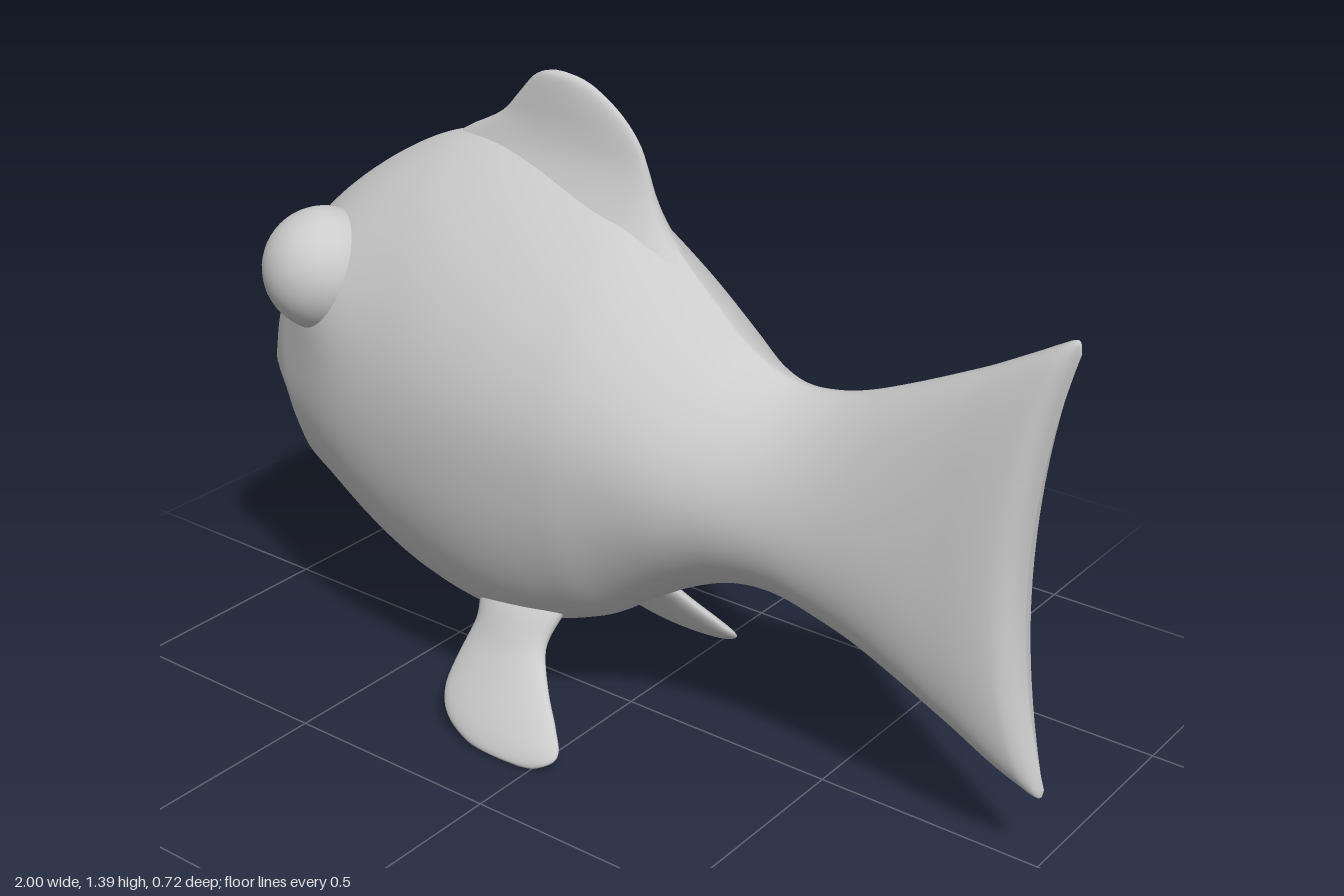
import * as THREE from 'three';

const material = new THREE.MeshStandardMaterial({ color: 0xcccccc, roughness: 0.7 });
const { smoothstep, clamp } = THREE.MathUtils;
const EYE = { x: -0.683, y: 0.912, z: 0.184, r: 0.134 };

// Smooth interpolation through rows [key, a, b, ...]; returns [a, b, ...]
function sample(rows, k) {
  let i = 0;
  while (i < rows.length - 2 && k > rows[i + 1][0]) i++;
  const a = rows[i], b = rows[i + 1], p = rows[Math.max(i - 1, 0)], n = rows[Math.min(i + 2, rows.length - 1)];
  const d = b[0] - a[0], t = clamp((k - a[0]) / d, 0, 1), t2 = t * t, t3 = t2 * t;
  return a.slice(1).map((v, c) => {
    const w = b[c + 1];
    const m0 = (w - p[c + 1]) / (b[0] - p[0]) * d;
    const m1 = (n[c + 1] - v) / (n[0] - a[0]) * d;
    return (2 * t3 - 3 * t2 + 1) * v + (t3 - 2 * t2 + t) * m0 + (3 * t2 - 2 * t3) * w + (t3 - t2) * m1;
  });
}

// Skin a grid of closed rings; point(u, angle) gives [x, y, z]
function loft(name, steps, sides, point) {
  const pos = [], idx = [];
  for (let i = 0; i <= steps; i++) {
    for (let j = 0; j < sides; j++) {
      pos.push(...point(i / steps, j / sides * Math.PI * 2));
      if (i === steps) continue;
      const a = i * sides + j, b = i * sides + (j + 1) % sides;
      idx.push(a, a + sides, b, b, a + sides, b + sides);
    }
  }
  const geo = new THREE.BufferGeometry();
  geo.setAttribute('position', new THREE.Float32BufferAttribute(pos, 3));
  geo.setIndex(idx);
  geo.computeVertexNormals();
  const mesh = new THREE.Mesh(geo, material);
  mesh.name = name;
  return mesh;
}

// Body stations: x, top, bottom, half width
const bodyRows = [
  [-1, 0.61, 0.42, 0], [-0.985, 0.67, 0.415, 0.048], [-0.95, 0.77, 0.40, 0.09], [-0.9, 0.87, 0.375, 0.137],
  [-0.8, 1.0, 0.325, 0.205], [-0.6, 1.15, 0.22, 0.28], [-0.4, 1.235, 0.172, 0.312], [-0.2, 1.24, 0.18, 0.318],
  [0, 1.17, 0.245, 0.30], [0.1, 1.095, 0.31, 0.277], [0.2, 1.0, 0.368, 0.245], [0.3, 0.915, 0.405, 0.20],
  [0.4, 0.875, 0.41, 0.16], [0.5, 0.88, 0.385, 0.132], [0.6, 0.912, 0.35, 0.115], [0.8, 1.005, 0.255, 0.092],
  [0.9, 1.06, 0.2, 0.08], [0.96, 1.095, 0.172, 0.065], [0.985, 1.108, 0.16, 0.046], [0.996, 1.105, 0.162, 0.026],
  [1, 1.085, 0.18, 0],
];
// Section exponents along x: above and below the middle (high is pointed, low is full)
const powerRows = [
  [-1, 1.0, 0.75], [-0.9, 1.05, 1.0], [-0.7, 1.1, 1.4], [-0.45, 1.55, 1.1], [-0.2, 1.95, 0.85], [0.05, 1.85, 0.9],
  [0.35, 1.4, 1.3], [0.55, 1.1, 1.1], [0.8, 0.85, 0.85], [1, 0.8, 0.8],
];
// Front edge of the mouth: y, setback in x
const mouthRows = [[0.38, 0.068], [0.43, 0.068], [0.5, 0.088], [0.56, 0.07], [0.595, 0.035], [0.62, 0], [0.65, 0]];

function bodyPoint(u, a) {
  const s = -Math.cos(u * Math.PI) * 0.9 + (2 * u - 1) * 0.1;
  const [top, bottom, width] = sample(bodyRows, s);
  const [upper, lower] = sample(powerRows, s);
  const mid = bottom + (top - bottom) * 0.47;
  const sin = Math.sin(a), cos = Math.cos(a);
  const y = mid + sin * (sin > 0 ? top - mid : mid - bottom);
  // Exponent eases between halves across the middle
  const power = lower + (upper - lower) * smoothstep(sin, -0.3, 0.3);
  let z = width * Math.sign(cos) * Math.abs(cos) ** power;
  // Swelling that carries the eyes
  z += 0.035 * cos * Math.exp(-((s - EYE.x) ** 2 + (y - EYE.y) ** 2) / 0.02);
  // Mouth notch and the groove running back from it
  const lip = 1 - smoothstep(s, -1, -0.77);
  let x = s + sample(mouthRows, clamp(y, 0.38, 0.65))[0] * lip;
  z *= 1 - 0.22 * lip * Math.exp(-(((y - 0.5) / 0.035) ** 2));
  // Concave trailing edge of the tail
  x -= 0.07 * (1 - sin * sin) * smoothstep(s, 0.5, 1);
  return [x, y, z];
}

// Fin levels: y, leading x, trailing x, half thickness
const dorsalRows = [
  [1.0, -0.6, 0.19, 0.13], [1.1, -0.57, 0.1, 0.095], [1.17, -0.51, 0.062, 0.062], [1.23, -0.43, 0.042, 0.036],
  [1.28, -0.335, 0.02, 0.025], [1.33, -0.285, -0.025, 0.02], [1.37, -0.247, -0.085, 0.015],
  [1.385, -0.22, -0.125, 0.01], [1.392, -0.19, -0.165, 0],
];
const pectoralRows = [
  [0.003, -0.12, -0.03, 0], [0.012, -0.18, 0.015, 0.018], [0.04, -0.247, 0.054, 0.028], [0.08, -0.277, 0.028, 0.031],
  [0.13, -0.278, -0.02, 0.031], [0.19, -0.268, -0.066, 0.034], [0.22, -0.265, -0.072, 0.04],
  [0.27, -0.28, -0.06, 0.048], [0.32, -0.29, -0.05, 0.04],
];

// Fin of elliptical sections, with its centre plane given by lean(y)
function fin(name, rows, lean) {
  const y0 = rows[0][0], y1 = rows[rows.length - 1][0];
  return loft(name, 40, 40, (u, a) => {
    const y = y0 + (y1 - y0) * (0.5 - 0.5 * Math.cos(u * Math.PI));
    const [lead, trail, thick] = sample(rows, y);
    return [(lead + trail) / 2 + Math.cos(a) * (trail - lead) / 2, y, lean(y) + Math.sin(a) * thick];
  });
}

export function createModel() {
  const group = new THREE.Group();
  group.name = 'fish';
  group.add(loft('body', 150, 96, bodyPoint));
  group.add(fin('dorsalFin', dorsalRows, () => 0));

  // Paired eyes and pectoral fins
  for (const side of [1, -1]) {
    const label = side > 0 ? 'front' : 'back';
    const eye = new THREE.Mesh(new THREE.SphereGeometry(EYE.r, 40, 28), material);
    eye.name = label + 'Eye';
    eye.position.set(EYE.x, EYE.y, side * EYE.z);
    group.add(eye);
    group.add(fin(label + 'PectoralFin', pectoralRows, (y) => side * (0.35 - 0.72 * y)));
  }
  return group;
}
